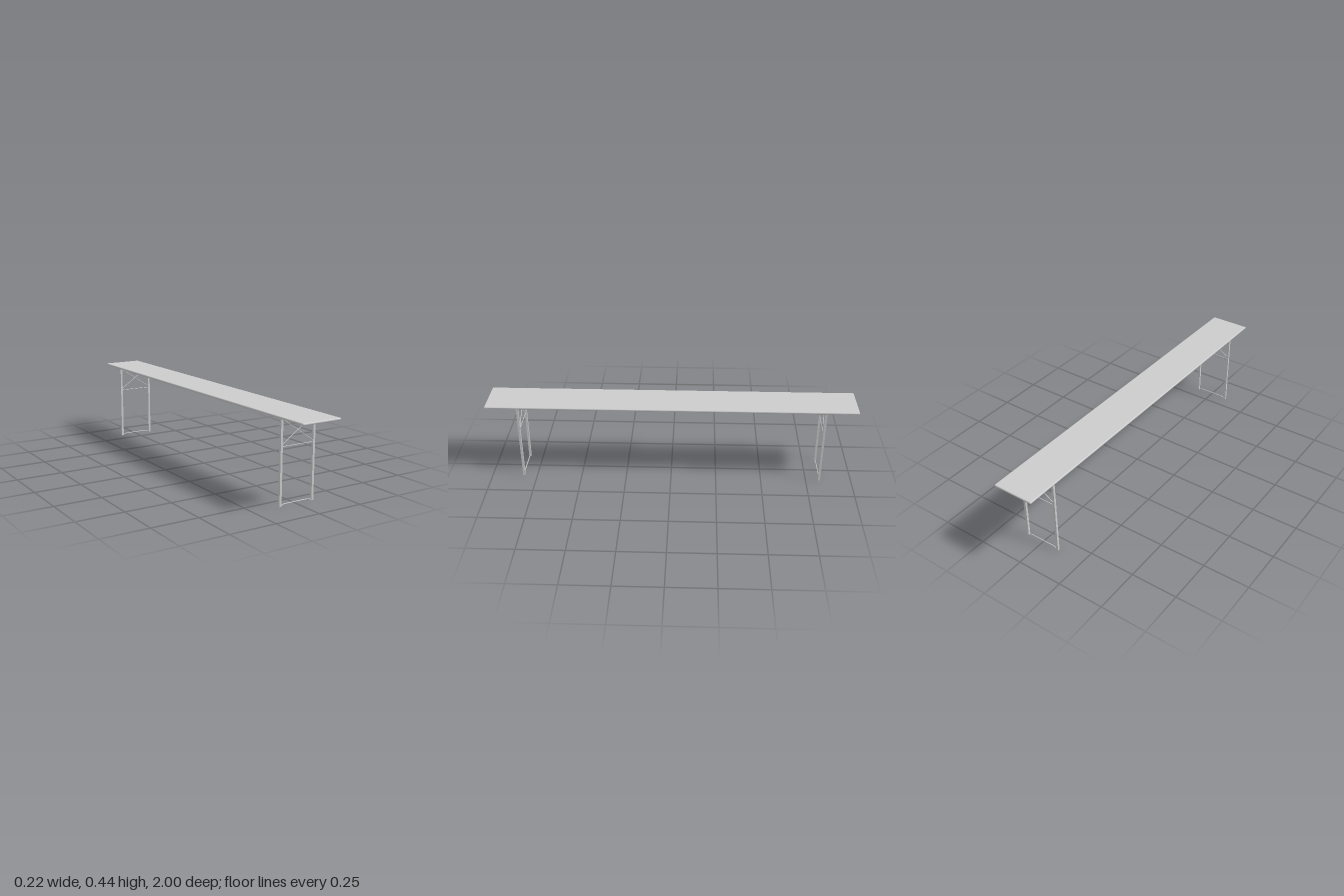
import * as THREE from 'three';
import { RoundedBoxGeometry } from 'three/addons/geometries/RoundedBoxGeometry.js';

const material = new THREE.MeshStandardMaterial({ color: 0xcccccc });

const LEG_X = 0.0965, LEG_SIZE = 0.012, LEG_TOP = 0.43, FRAME_Z = 0.825;

function part(name, geometry, x = 0, y = 0, z = 0) {
  const mesh = new THREE.Mesh(geometry, material);
  mesh.name = name;
  mesh.position.set(x, y, z);
  return mesh;
}

// Round rod following straight segments between the given [x, y] points
function rod(name, points, radius, z = 0) {
  const path = new THREE.CurvePath();
  const v = points.map(([x, y]) => new THREE.Vector3(x, y, z));
  for (let i = 1; i < v.length; i++) path.add(new THREE.LineCurve3(v[i - 1], v[i]));
  return part(name, new THREE.TubeGeometry(path, v.length > 2 ? 40 : 1, radius, 12));
}

// Folding leg frame: two posts, crossed braces, crossbar and a raised foot bar
function legFrame(name) {
  const frame = new THREE.Group();
  frame.name = name;
  for (const side of [-1, 1]) {
    const label = side > 0 ? 'left' : 'right';
    frame.add(part(label + 'Leg', new THREE.BoxGeometry(LEG_SIZE, LEG_TOP, LEG_SIZE), side * LEG_X, LEG_TOP / 2, 0));
    frame.add(rod(label + 'Brace', [[side * 0.094, 0.428], [-side * 0.094, 0.301]], 0.0018, side * 0.0015));
  }
  frame.add(rod('crossbar', [[-0.094, 0.293], [0.094, 0.293]], 0.0018));
  frame.add(rod('footBar', [[-0.094, 0.004], [-0.087, 0.005], [-0.071, 0.0105],
    [0.071, 0.0105], [0.087, 0.005], [0.094, 0.004]], 0.0024));
  return frame;
}

export function createModel() {
  const model = new THREE.Group();
  model.name = 'bench';

  // Long plank with softened edges
  model.add(part('benchTop', new RoundedBoxGeometry(0.224, 0.012, 2, 4, 0.0055), 0, 0.435, 0));

  const front = legFrame('frontLegFrame');
  front.position.z = FRAME_Z;
  const back = legFrame('backLegFrame');
  back.position.z = -FRAME_Z;
  back.rotation.y = Math.PI;
  model.add(front, back);
  return model;
}
